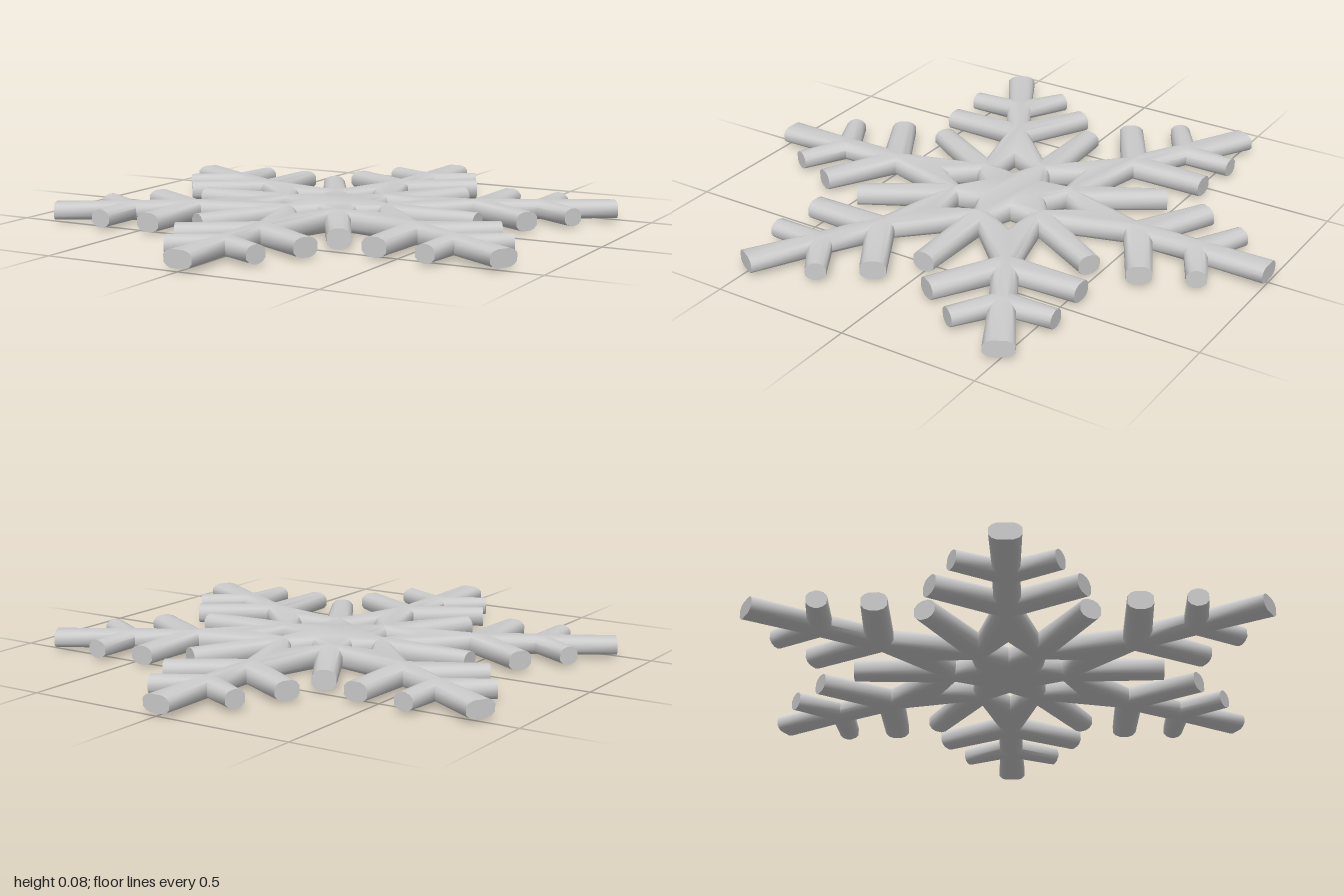
import * as THREE from 'three';
import { toCreasedNormals } from 'three/addons/utils/BufferGeometryUtils.js';

// Right half of one sector: [across, along arm, 1 = corner of a blunt tip]
const HALF = [
  [0.052, 1, 1],
  [0.045, 0.80, 0], [0.155, 0.852, 1], [0.187, 0.79, 1], [0.045, 0.71, 0], // outer branch
  [0.045, 0.59, 0], [0.228, 0.688, 1], [0.272, 0.612, 1], [0.045, 0.48, 0], // inner branch
  [0.104, 0.27, 0], [0.241, 0.498, 1], // notch and short spoke
];
// Kite-shaped opening at the root of each arm (clockwise)
const HOLE = [[0, 0.14, 0], [-0.058, 0.185, 0], [0, 0.272, 0], [0.058, 0.185, 0]];

// Edge section: [inset, share of half thickness], bottom to top
const SECTION = [[0.028, -1], [0.011, -0.8], [0, -0.42], [0, 0.42], [0.011, 0.8], [0.028, 1]];
const MID = 0.045;

const turn = (pts, k) => {
  const c = Math.cos(k * Math.PI / 3), s = Math.sin(k * Math.PI / 3);
  return pts.map(([x, y, t]) => [x * c + y * s, y * c - x * s, t]);
};

// Move the edges of a contour into the material, leaving blunt tip edges in place
function inset(pts, d) {
  const n = pts.length;
  const edge = (a, b) => {
    const l = Math.hypot(b[0] - a[0], b[1] - a[1]);
    return [-(b[1] - a[1]) / l, (b[0] - a[0]) / l, a[2] && b[2] ? 0 : d];
  };
  return pts.map((p, i) => {
    const [ax, ay, ad] = edge(pts[(i + n - 1) % n], p);
    const [bx, by, bd] = edge(p, pts[(i + 1) % n]);
    const det = ax * by - ay * bx;
    return new THREE.Vector2(p[0] + (ad * by - bd * ay) / det, p[1] + (ax * bd - bx * ad) / det);
  });
}

function snowflakeGeometry() {
  const sector = [...HALF.map(([x, y, t]) => [-x, y, t]).reverse(), ...HALF];
  const outline = [], holes = [];
  for (let k = 0; k < 6; k++) {
    outline.push(...turn(sector, k));
    holes.push(turn(HOLE, k));
  }
  outline.reverse();
  const contours = [outline, ...holes];
  const pos = [];
  // Thickness shrinks gently from the centre to the tips
  const put = (p, h) => pos.push(p.x, MID + h * (0.041 - 0.011 * Math.min(1, p.length())), -p.y);

  // Rounded side walls
  const layers = SECTION.map(([d]) => contours.map((c) => inset(c, d)));
  for (let j = 0; j < SECTION.length - 1; j++) {
    const h0 = SECTION[j][1], h1 = SECTION[j + 1][1];
    contours.forEach((contour, c) => {
      const lo = layers[j][c], hi = layers[j + 1][c];
      for (let i = 0; i < contour.length; i++) {
        const m = (i + 1) % contour.length;
        put(lo[i], h0); put(lo[m], h0); put(hi[m], h1);
        put(lo[i], h0); put(hi[m], h1); put(hi[i], h1);
      }
    });
  }

  // Top and bottom faces
  const cap = layers[0], flat = cap.flat();
  for (const [a, b, c] of THREE.ShapeUtils.triangulateShape(cap[0], cap.slice(1))) {
    put(flat[a], 1); put(flat[b], 1); put(flat[c], 1);
    put(flat[a], -1); put(flat[c], -1); put(flat[b], -1);
  }

  const g = new THREE.BufferGeometry();
  g.setAttribute('position', new THREE.Float32BufferAttribute(pos, 3));
  return toCreasedNormals(g, 0.9);
}

export function createModel() {
  const group = new THREE.Group();
  group.name = 'snowflake';
  const material = new THREE.MeshStandardMaterial({ color: 0xcccccc });
  const body = new THREE.Mesh(snowflakeGeometry(), material);
  body.name = 'snowflakeBody';
  group.add(body);
  return group;
}
